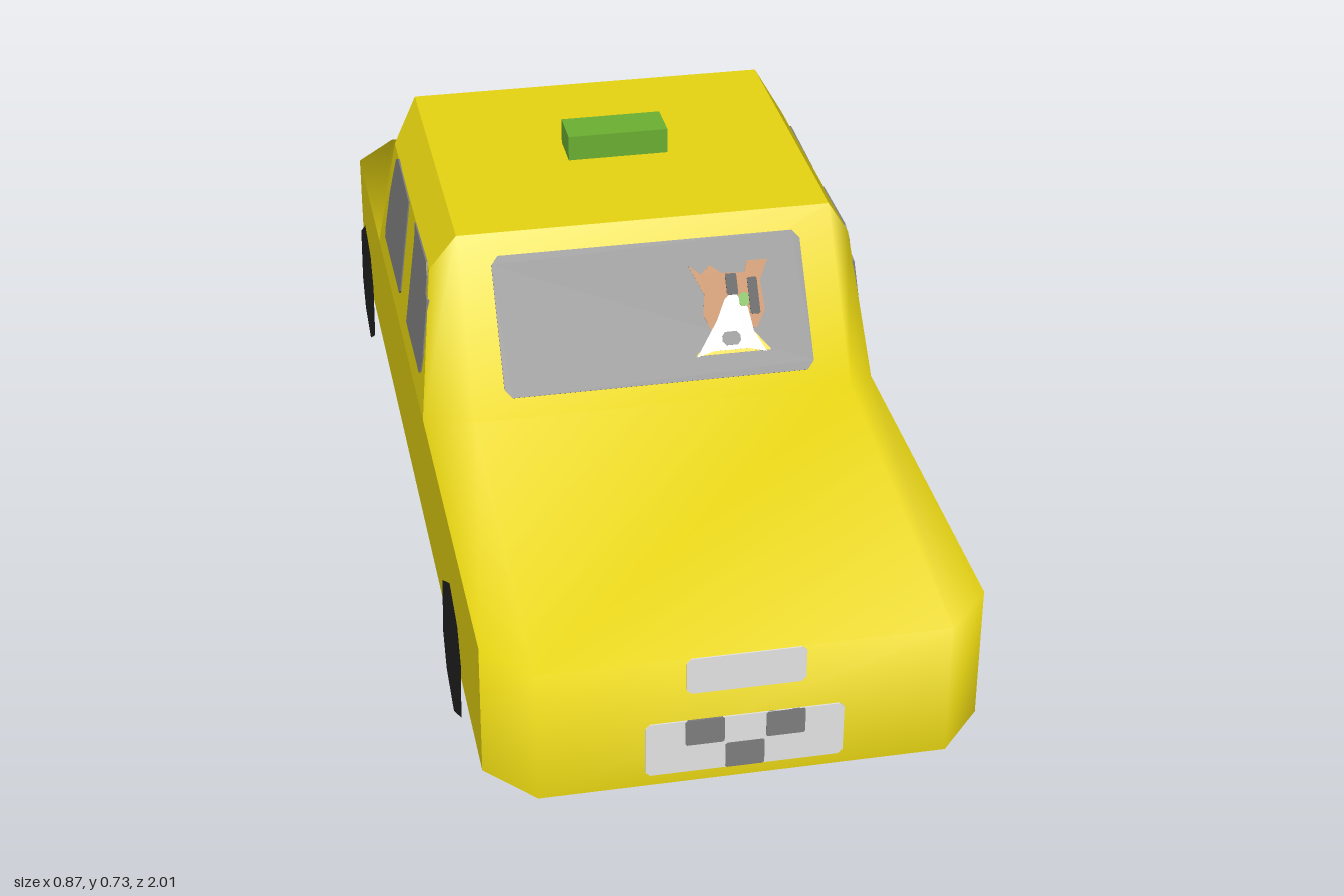
import * as THREE from 'three';

const mat = (name, color) => Object.assign(new THREE.MeshStandardMaterial({ color, side: THREE.DoubleSide }), { name });

export function createModel() {
  const yellow = mat('bodyYellow', 0xebd812);
  const gray = mat('glassGray', 0x7f7f7f);
  const white = mat('plateWhite', 0xe6e6e6);
  const red = mat('lampRed', 0xdf3313);
  const green = mat('signGreen', 0x6db033);
  const black = mat('tyreBlack', 0x222222);
  const brown = mat('furBrown', 0xb87a3d);

  const model = new THREE.Group();
  model.name = 'taxi';
  const body = new THREE.Group();
  body.name = 'body';
  body.position.x = 0.0065; // wheels on one side only shift the shell off centre
  model.add(body);

  const add = (parent, name, geometry, material) => {
    const mesh = new THREE.Mesh(geometry, material);
    mesh.name = name;
    parent.add(mesh);
    return mesh;
  };

  // Surface through a grid of points: rows run upwards, columns to the right
  function panel(name, rows) {
    const n = rows[0].length;
    const index = [];
    for (let r = 0; r < rows.length - 1; r++) {
      for (let c = 0; c < n - 1; c++) {
        const a = r * n + c;
        index.push(a, a + 1, a + n + 1, a, a + n + 1, a + n);
      }
    }
    const g = new THREE.BufferGeometry();
    g.setAttribute('position', new THREE.Float32BufferAttribute(rows.flat(2), 3));
    g.setIndex(index);
    g.computeVertexNormals();
    add(body, name, g, yellow);
  }

  // Nose and tail sections: outer x, y, z, then inner y, z (inner x is constant)
  const OUT = 0.427, IN = 0.347;
  const nose = [
    [OUT, 0.085, 0.91, 0.085, 1], [OUT, 0.335, 0.91, 0.335, 1],
    [OUT, 0.335, 0.19, 0.405, 0.33], [0.395, 0.6, 0.1, 0.68, 0.13],
  ];
  const tail = [
    [OUT, 0.085, -0.91, 0.085, -1], [OUT, 0.335, -0.91, 0.335, -1],
    [OUT, 0.335, -0.53, 0.46, -0.62], [0.395, 0.6, -0.435, 0.68, -0.475],
  ];
  const across = (s) => ([xo, yo, zo, yi, zi]) =>
    [[-s * xo, yo, zo], [-s * IN, yi, zi], [s * IN, yi, zi], [s * xo, yo, zo]];
  panel('noseHoodAndWindshieldFrame', nose.map(across(1)));
  panel('tailTrunkAndRearFrame', tail.map(across(-1)));

  // Flat side panels, roof bevels and roof
  for (const s of [1, -1]) {
    const side = s > 0 ? 'left' : 'right';
    const row = (x, y, zf, zb) => s > 0 ? [[x, y, zf], [x, y, zb]] : [[-x, y, zb], [-x, y, zf]];
    panel(side + 'LowerSide', [row(OUT, 0.085, 0.91, -0.91), row(OUT, 0.335, 0.91, -0.91)]);
    panel(side + 'CabinSide', [row(OUT, 0.335, 0.19, -0.53), row(0.395, 0.6, 0.1, -0.435)]);
    panel(side + 'RoofBevel', [row(0.395, 0.6, 0.1, -0.435), row(IN, 0.68, 0.13, -0.475)]);
  }
  panel('roof', [[[-IN, 0.68, 0.13], [IN, 0.68, 0.13]], [[-IN, 0.68, -0.475], [IN, 0.68, -0.475]]]);

  // Thin plates centred on a surface; a frame maps (u, height) onto that surface
  const frame = (o, u, v) => {
    const U = new THREE.Vector3(...u), V = new THREE.Vector3(...v);
    const N = new THREE.Vector3().crossVectors(U, V).normalize();
    return new THREE.Matrix4().makeBasis(U, V, N).setPosition(...o);
  };
  function plate(name, material, points, where, layer = 0) {
    const depth = 0.005 + layer * 0.0015;
    const shape = new THREE.Shape(points.map(([x, y]) => new THREE.Vector2(x, y)));
    const g = new THREE.ExtrudeGeometry(shape, { depth, bevelEnabled: false });
    g.translate(0, 0, -depth / 2).applyMatrix4(where);
    g.computeVertexNormals();
    add(body, name, g, material);
  }
  const rect = (x0, y0, x1, y1, r = 0.008) => [
    [x0 + r, y0], [x1 - r, y0], [x1, y0 + r], [x1, y1 - r],
    [x1 - r, y1], [x0 + r, y1], [x0, y1 - r], [x0, y0 + r],
  ];

  const front = frame([0, 0, 1], [1, 0, 0], [0, 1, 0]);
  const back = frame([0, 0, -1], [-1, 0, 0], [0, 1, 0]);
  const screen = frame([0, 0, 0.6245], [1, 0, 0], [0, 1, -0.7273]);
  const rearScreen = frame([0, 0, -0.923], [-1, 0, 0], [0, 1, 0.659]);

  // Windows
  plate('windshield', gray, rect(-0.289, 0.435, 0.283, 0.645, 0.013), screen);
  plate('rearWindow', gray, rect(-0.312, 0.475, 0.312, 0.64, 0.015), rearScreen);
  const slope = 0.032 / 0.265;
  const frontWindow = [[-0.085, 0.39], [-0.08, 0.57], [-0.09, 0.6], [0.075, 0.602],
    [0.095, 0.585], [0.1, 0.553], [0.122, 0.548], [0.133, 0.44], [0.125, 0.4], [0.11, 0.39]];
  const backWindow = [[-0.19, 0.4], [-0.187, 0.595], [-0.36, 0.602], [-0.385, 0.59],
    [-0.405, 0.55], [-0.43, 0.49], [-0.445, 0.41], [-0.44, 0.39], [-0.2, 0.39]];
  for (const s of [1, -1]) {
    const x = s * (OUT + 0.335 * slope);
    const where = frame([x, 0, 0], [0, 0, -s], [-s * slope, 1, 0]);
    const place = (pts) => pts.map(([z, y]) => [-s * z, y]);
    const side = s > 0 ? 'left' : 'right';
    plate(side + 'FrontWindow', gray, place(frontWindow), where);
    plate(side + 'BackWindow', gray, place(backWindow), where);
  }

  // Registration plates with plain gray blocks
  for (const [end, where] of [['front', front], ['rear', back]]) {
    plate(end + 'Plate', white, rect(-0.168, 0.106, 0.168, 0.21), where);
    for (const [x, y] of [[-0.068, 0.185], [0, 0.131], [0.068, 0.185]]) {
      plate(end + 'PlateBlock', gray, rect(x - 0.033, y - 0.025, x + 0.033, y + 0.025, 0.003), where, 1);
    }
  }
  plate('frontLamp', white, rect(-0.1, 0.265, 0.1, 0.334), front);

  // Tail lamps wrap round onto the corner bevels
  for (const s of [1, -1]) {
    plate('tailLamp', red, rect(s > 0 ? 0.232 : -IN, 0.205, s > 0 ? IN : -0.232, 0.26, 0.003), back);
    const len = Math.hypot(0.08, 0.09);
    const bevel = frame([-s * IN, 0, -1], [-0.08 / len, 0, s * 0.09 / len], [0, 1, 0]);
    plate('tailLampCorner', red, rect(s > 0 ? 0 : -0.034, 0.207, s > 0 ? 0.034 : 0, 0.258, 0.003), bevel);
  }

  // Animal driver painted on the windshield
  plate('driverFur', brown, [[0.07, 0.605], [0.092, 0.59], [0.11, 0.603], [0.13, 0.59], [0.172, 0.588],
    [0.18, 0.605], [0.218, 0.605], [0.2, 0.575], [0.203, 0.53], [0.185, 0.505], [0.1, 0.505],
    [0.088, 0.53], [0.094, 0.56]], screen, 1);
  plate('driverShirt', yellow, [[0.066, 0.47], [0.207, 0.47], [0.18, 0.498], [0.105, 0.498]], screen, 1);
  plate('driverMuzzle', white, [[0.068, 0.468], [0.1, 0.475], [0.165, 0.475], [0.198, 0.468],
    [0.178, 0.5], [0.172, 0.535], [0.148, 0.562], [0.13, 0.55], [0.112, 0.52]], screen, 2);
  plate('driverNose', gray, rect(0.118, 0.482, 0.152, 0.502, 0.006), screen, 2.6);
  plate('driverLeftLens', black, rect(0.176, 0.525, 0.194, 0.58, 0.002), screen, 2.6);
  plate('driverRightLens', black, rect(0.136, 0.556, 0.157, 0.588, 0.002), screen, 2.6);
  plate('driverEye', green, rect(0.157, 0.538, 0.175, 0.558, 0.004), screen, 2.6);

  // Roof sign
  add(body, 'roofSign', new THREE.BoxGeometry(0.191, 0.05, 0.08), green).position.set(0.001, 0.704, -0.175);

  // Flat wheels on the right side
  const half = [[0.108, -0.07], [-0.004, -0.14], [-0.095, -0.113], [-0.128, -0.055]];
  const outline = [...half, ...half.map(([z, y]) => [-z, -y])].map((p) => new THREE.Vector2(...p));
  const disc = new THREE.ShapeGeometry(new THREE.Shape(outline)).rotateY(-Math.PI / 2);
  for (const [name, z] of [['frontWheel', 0.635], ['rearWheel', -0.712]]) {
    add(model, name, disc, black).position.set(-0.433, 0.14, z);
  }
  return model;
}
